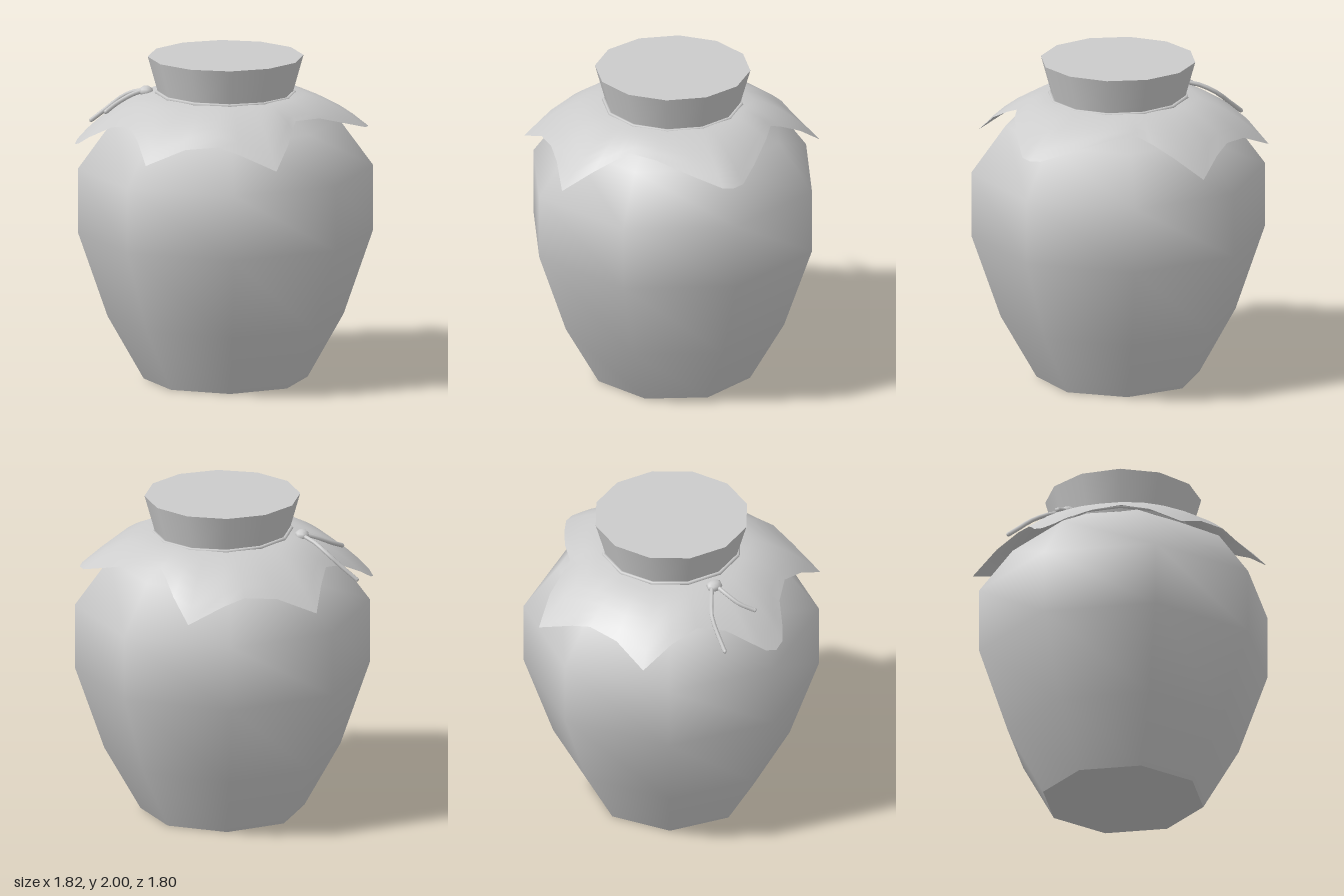
import * as THREE from 'three';

const V = (x, y, z) => new THREE.Vector3(x, y, z);

// Hem of the cloth on the back half, from the +x tip round to the -x tip
const HEM = [
  [0.88, 1.555, 0], [0.86, 1.56, -0.07], [0.74, 1.61, -0.20], [0.56, 1.68, -0.37],
  [0.41, 1.685, -0.47], [0.385, 1.65, -0.56], [0.35, 1.58, -0.70], [0.27, 1.455, -0.87],
  [0.05, 1.545, -0.80], [-0.08, 1.59, -0.775], [-0.28, 1.57, -0.745], [-0.52, 1.475, -0.75],
  [-0.56, 1.59, -0.55], [-0.60, 1.645, -0.37], [-0.70, 1.61, -0.23], [-0.83, 1.53, -0.13],
  [-0.89, 1.48, -0.07], [-0.91, 1.46, 0],
];

// Cloth lofted from the neck out to the hem, bulging over the shoulder
function clothGeometry() {
  const hem = HEM.map(p => V(...p));
  const mirrored = hem.slice(1, -1).reverse().map(p => V(p.x, p.y, -p.z));
  const loop = [...hem, ...mirrored];
  const n = loop.length, steps = 6, pos = [], index = [];
  for (let s = 0; s <= steps; s++) {
    const t = s / steps;
    for (const p of loop) {
      const a = Math.atan2(p.z, p.x - 0.01);
      const inner = V(0.01 + 0.41 * Math.cos(a), 1.775, 0.41 * Math.sin(a));
      const q = inner.clone().lerp(p, t);
      q.y += 0.8 * t * (1 - t) * (inner.y - p.y);
      pos.push(q.x, q.y, q.z);
    }
  }
  for (let s = 0; s < steps; s++) {
    for (let i = 0; i < n; i++) {
      const j = (i + 1) % n;
      const a = s * n + i, b = s * n + j, c = a + n, d = b + n;
      index.push(a, c, b, b, c, d);
    }
  }
  const g = new THREE.BufferGeometry();
  g.setAttribute('position', new THREE.Float32BufferAttribute(pos, 3));
  g.setIndex(index);
  g.computeVertexNormals();
  return g;
}

export function createModel() {
  const group = new THREE.Group();
  const clay = new THREE.MeshStandardMaterial({ color: 0xcccccc, side: THREE.DoubleSide });
  clay.name = 'plain grey';

  const add = (name, geometry, x = 0, y = 0, z = 0) => {
    const m = new THREE.Mesh(geometry, clay);
    m.name = name;
    m.position.set(x, y, z);
    group.add(m);
    return m;
  };

  // Eight-sided jar body and its flat base
  const profile = [[0.5, 0], [0.72, 0.39], [0.9, 0.91], [0.9, 1.31], [0.69, 1.6], [0.4, 1.765]];
  add('jarBody', new THREE.LatheGeometry(profile.map(p => new THREE.Vector2(...p)), 8), 0.01);
  add('jarBase', new THREE.CircleGeometry(0.5, 8).rotateX(Math.PI / 2), 0.01);

  // Flared twelve-sided stopper
  add('stopper', new THREE.CylinderGeometry(0.475, 0.405, 0.25, 12), 0.01, 1.875);

  add('clothCover', clothGeometry());

  // Cord round the neck, a little higher on the knot side
  const cord = add('neckCord', new THREE.TorusGeometry(0.42, 0.013, 6, 12).rotateX(Math.PI / 2), 0.01, 1.772);
  cord.rotation.z = -0.012;

  // Knot and its two loose ends
  const knot = add('knot', new THREE.SphereGeometry(0.045, 8, 6), -0.47, 1.765, -0.1);
  knot.scale.set(1, 0.75, 1.2);
  const ends = [
    [V(-0.46, 1.77, -0.11), V(-0.54, 1.745, -0.19), V(-0.62, 1.69, -0.265), V(-0.7, 1.62, -0.295), V(-0.79, 1.545, -0.32)],
    [V(-0.47, 1.775, -0.1), V(-0.56, 1.745, -0.09), V(-0.65, 1.70, -0.06), V(-0.72, 1.66, 0)],
  ];
  for (const pts of ends) {
    add('cordEnd', new THREE.TubeGeometry(new THREE.CatmullRomCurve3(pts), 8, 0.014, 6));
    const tip = add('cordTip', new THREE.SphereGeometry(0.014, 6, 4));
    tip.position.copy(pts[pts.length - 1]);
  }

  return group;
}
